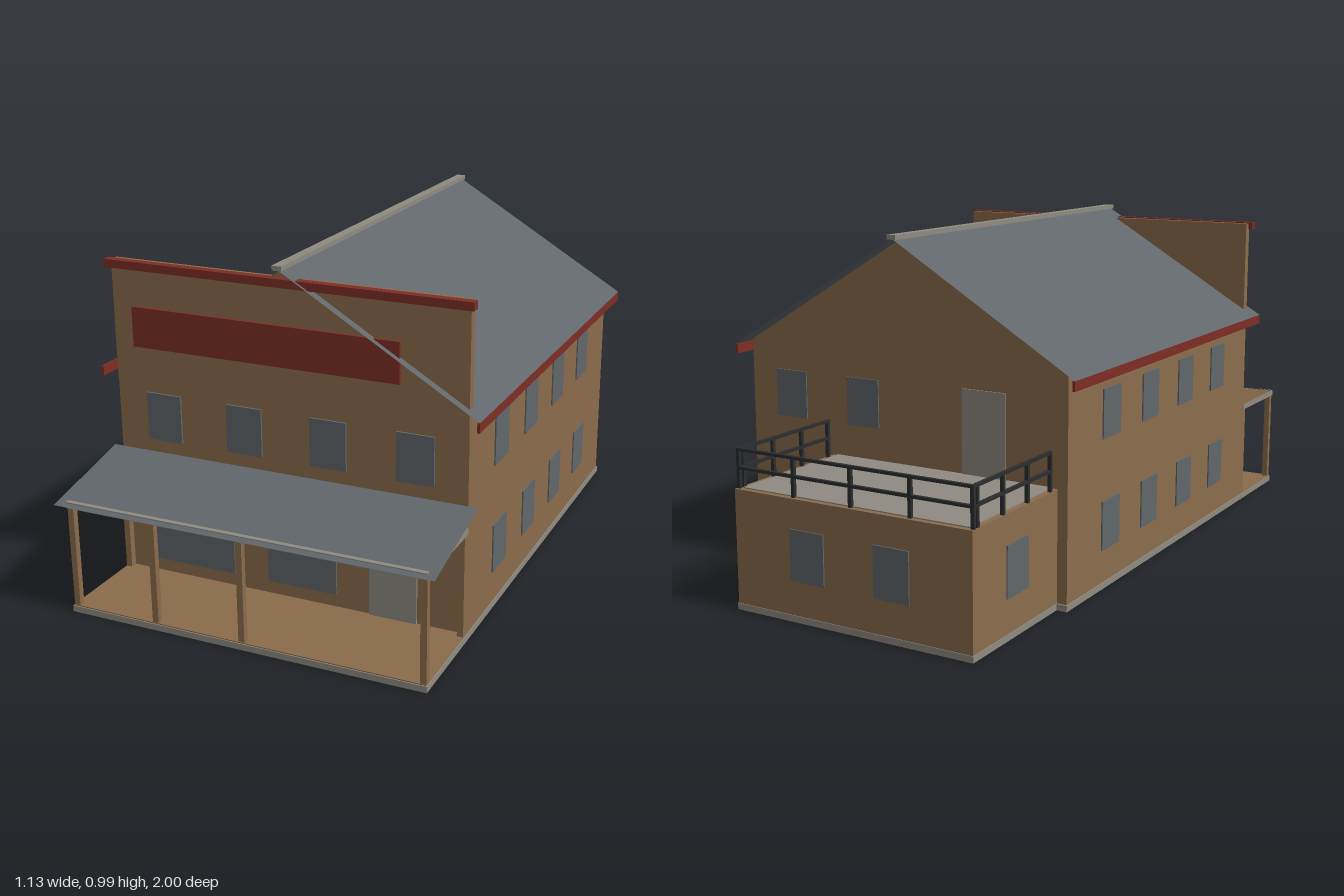
import * as THREE from 'three';

const mat = (name, color, extra = {}) => {
  const m = new THREE.MeshStandardMaterial({ color, ...extra });
  m.name = name;
  return m;
};

export function createModel() {
  const root = new THREE.Group();
  root.name = 'building';
  const timber = mat('brown timber', 0x8b6c4b);
  const stone = mat('light grey', 0x8f8b82);
  const slate = mat('slate grey', 0x60666a, { side: THREE.DoubleSide });
  const glass = mat('window grey', 0x61676a);
  const red = mat('dark red', 0x7e2d25);
  const iron = mat('black iron', 0x2b2d2e);

  const add = (name, geo, material, parent = root) => {
    const mesh = new THREE.Mesh(geo, material);
    mesh.name = name;
    parent.add(mesh);
    return mesh;
  };
  // Box given by its lower and upper limits on each axis
  const box = (name, material, x0, x1, y0, y1, z0, z1, parent = root) => {
    const m = add(name, new THREE.BoxGeometry(x1 - x0, y1 - y0, z1 - z0), material, parent);
    m.position.set((x0 + x1) / 2, (y0 + y1) / 2, (z0 + z1) / 2);
    return m;
  };
  // Flat sheet through four corners
  const sheet = (name, material, a, b, c, d) => {
    const g = new THREE.BufferGeometry();
    g.setAttribute('position', new THREE.Float32BufferAttribute([...a, ...b, ...c, ...d], 3));
    g.setIndex([0, 1, 2, 0, 2, 3]);
    g.computeVertexNormals();
    return add(name, g, material);
  };
  const outline = (pts) => new THREE.Shape(pts.map(([x, y]) => new THREE.Vector2(x, y)));
  const T = 0.003; // half thickness of window and door plates
  const plateZ = (name, m, x0, x1, y0, y1, z) => box(name, m, x0, x1, y0, y1, z - T, z + T);
  const plateX = (name, m, x, y0, y1, z0, z1) => box(name, m, x - T, x + T, y0, y1, z0, z1);

  // Foundation and porch floor
  box('mainFoundation', stone, -0.531, 0.531, 0, 0.018, -0.575, 0.983);
  box('annexFoundation', stone, -0.5, 0.243, 0, 0.018, -1, -0.575);
  box('porchFloor', timber, -0.528, 0.528, 0.018, 0.021, 0.7, 0.98);

  // Main body with gabled ends
  const body = outline([[-0.528, 0.018], [0.528, 0.018], [0.528, 0.652], [0, 0.969], [-0.528, 0.652]]);
  add('mainWalls', new THREE.ExtrudeGeometry(body, { depth: 1.27, bevelEnabled: false }), timber)
    .position.z = -0.57;

  // Thin roof slopes, eave boards and ridge cap
  const [zb, zf] = [-0.605, 0.728];
  for (const s of [-1, 1]) {
    const e = s * 0.565;
    const name = s > 0 ? 'leftRoofSlope' : 'rightRoofSlope';
    if (s > 0) sheet(name, slate, [0, 0.976, zb], [0, 0.976, zf], [e, 0.638, zf], [e, 0.638, zb]);
    else sheet(name, slate, [e, 0.638, zb], [e, 0.638, zf], [0, 0.976, zf], [0, 0.976, zb]);
    box('eaveBoard', red, s * 0.5615 - 0.0035, s * 0.5615 + 0.0035, 0.61, 0.638, zb, zf);
  }
  box('ridgeCap', stone, -0.014, 0.014, 0.973, 0.986, zb - 0.003, zf + 0.003);

  // False front with cornice and blank signboard
  box('falseFront', timber, -0.528, 0.528, 0.6, 0.945, 0.675, 0.702);
  box('cornice', red, -0.541, 0.541, 0.925, 0.948, 0.695, 0.72);
  box('signboard', red, -0.465, 0.338, 0.703, 0.818, 0.7, 0.711);

  // Front windows and door
  for (const x of [-0.38, -0.127, 0.127, 0.38])
    plateZ('frontUpperWindow', glass, x - 0.054, x + 0.054, 0.432, 0.571, 0.703);
  plateZ('shopWindow', glass, -0.444, -0.171, 0.06, 0.296, 0.703);
  plateZ('shopWindow', glass, -0.063, 0.148, 0.06, 0.296, 0.703);
  plateZ('frontDoor', stone, 0.247, 0.387, 0.021, 0.262, 0.703);

  // Side windows on both floors
  for (const s of [-1, 1])
    for (const z of [0.45, 0.195, -0.06, -0.315])
      for (const y of [0.113, 0.432])
        plateX('sideWindow', glass, s * 0.529, y, y + 0.141, z - 0.054, z + 0.054);

  // Porch posts, ceiling, brown gable wedge and lean-to roof
  for (const x of [-0.519, -0.265, 0, 0.519])
    box('porchPost', timber, x - 0.009, x + 0.009, 0.018, 0.315, 0.96, 0.978);
  for (const x of [-0.519, 0.519])
    box('wallPost', timber, x - 0.009, x + 0.009, 0.018, 0.315, 0.7, 0.721);
  box('porchCeiling', stone, -0.53, 0.53, 0.314, 0.332, 0.7, 0.983);
  const wedge = outline([[-0.7, 0.332], [-0.7, 0.388], [-0.965, 0.332]]);
  const wedgeMesh = add('porchGable', new THREE.ExtrudeGeometry(wedge, { depth: 1.056, bevelEnabled: false }), timber);
  wedgeMesh.rotation.y = Math.PI / 2;
  wedgeMesh.position.x = -0.528;
  sheet('porchRoof', slate, [-0.556, 0.393, 0.7], [-0.556, 0.325, 1], [0.556, 0.325, 1], [0.556, 0.393, 0.7]);

  // Rear annex with roof deck
  box('annexWalls', timber, -0.498, 0.241, 0.018, 0.335, -0.998, -0.56);
  box('roofDeck', stone, -0.482, 0.225, 0.33, 0.338, -0.982, -0.57);
  for (const x of [-0.26, 0.004])
    plateZ('annexBackWindow', glass, x - 0.054, x + 0.054, 0.113, 0.254, -0.999);
  for (const x of [-0.499, 0.242])
    plateX('annexSideWindow', glass, x, 0.113, 0.254, -0.838, -0.73);

  // Upper rear windows and the door onto the deck
  for (const x of [0.13, 0.385])
    plateZ('backUpperWindow', glass, x - 0.054, x + 0.054, 0.432, 0.571, -0.571);
  plateZ('deckDoor', stone, -0.34, -0.202, 0.338, 0.577, -0.571);

  // Deck railing: posts with a middle and a top rail on three sides
  const railing = new THREE.Group();
  railing.name = 'deckRailing';
  root.add(railing);
  const [xl, xr, zEnd, r] = [-0.492, 0.235, -0.985, 0.005];
  const post = (x, z) => box('railPost', iron, x - r, x + r, 0.335, 0.443, z - r, z + r, railing);
  for (let i = 0; i < 5; i++) post(xl + (xr - xl) * i / 4, zEnd);
  for (const x of [xl, xr]) for (const z of [-0.602, -0.722, -0.845, -0.968]) post(x, z);
  for (const y of [0.391, 0.441]) {
    box('backRail', iron, xl - r, xr + r, y - 0.004, y + 0.004, zEnd - r, zEnd + r, railing);
    for (const x of [xl, xr])
      box('sideRail', iron, x - r, x + r, y - 0.004, y + 0.004, zEnd, -0.597, railing);
  }
  return root;
}
